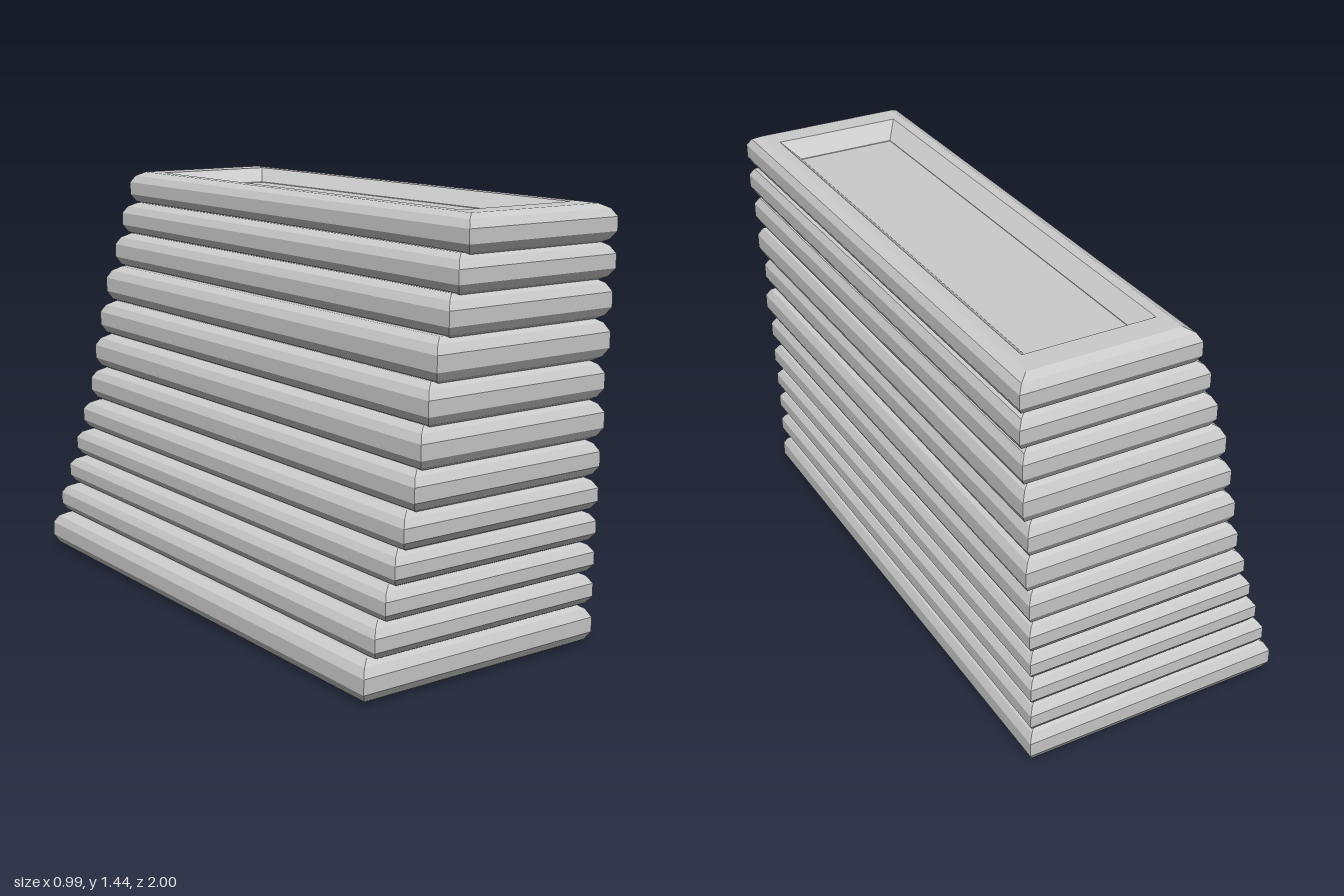
import * as THREE from 'three';

const material = new THREE.MeshStandardMaterial({ color: 0xcccccc, flatShading: true, side: THREE.DoubleSide });

// Cross-section of a ring: [inset in x, inset in z, height fraction],
// up the outside, over the top, down the inside.
const profile = [
  [0.045, 0.045, 0], [0.015, 0.017, 0.12], [0, 0, 0.32], [0, 0, 0.68],
  [0.015, 0.017, 0.88], [0.045, 0.045, 1], [0.08, 0.13, 1],
  [0.13, 0.2, 0.62], [0.13, 0.2, 0.38], [0.08, 0.13, 0],
];

// Rectangular ring with mitred corners and a bevelled section
function ringGeometry(x0, x1, y0, y1) {
  const n = profile.length;
  const positions = [];
  const index = [];
  for (const [sx, sz] of [[1, 1], [1, -1], [-1, -1], [-1, 1]]) {
    for (const [ix, iz, t] of profile) {
      positions.push(sx > 0 ? x1 - ix : x0 + ix, y0 + t * (y1 - y0), sz * (1 - iz));
    }
  }
  for (let k = 0; k < 4; k++) {
    for (let j = 0; j < n; j++) {
      const m = (k + 1) % 4, i = (j + 1) % n;
      const a = k * n + j, b = m * n + j, c = m * n + i, d = k * n + i;
      index.push(a, b, c, a, c, d);
    }
  }
  const geometry = new THREE.BufferGeometry();
  geometry.setAttribute('position', new THREE.Float32BufferAttribute(positions, 3));
  geometry.setIndex(index);
  const flat = geometry.toNonIndexed();
  flat.computeVertexNormals();
  return flat;
}

export function createModel() {
  const group = new THREE.Group();
  group.name = 'steppedStack';

  // Rings from the bottom up: [left edge, right edge, underside]
  const rings = [
    [-0.495, 0.442, 0], [-0.455, 0.442, 0.128], [-0.416, 0.443, 0.238],
    [-0.382, 0.446, 0.343], [-0.35, 0.45, 0.447], [-0.312, 0.452, 0.559],
    [-0.29, 0.465, 0.683], [-0.264, 0.46, 0.812], [-0.234, 0.477, 0.94],
    [-0.191, 0.48, 1.073], [-0.157, 0.49, 1.198], [-0.12, 0.491, 1.315],
  ];
  rings.forEach(([x0, x1, y], i) => {
    const top = i < rings.length - 1 ? rings[i + 1][2] + 0.012 : 1.443;
    const ring = new THREE.Mesh(ringGeometry(x0, x1, y, top), material);
    ring.name = `ring${i + 1}`;
    group.add(ring);
  });

  // Sunken floor inside the top ring
  const floor = new THREE.Mesh(new THREE.PlaneGeometry(0.352, 1.6), material);
  floor.name = 'topFloor';
  floor.rotation.x = -Math.PI / 2;
  floor.position.set(0.1855, 1.392, 0);
  group.add(floor);

  return group;
}
